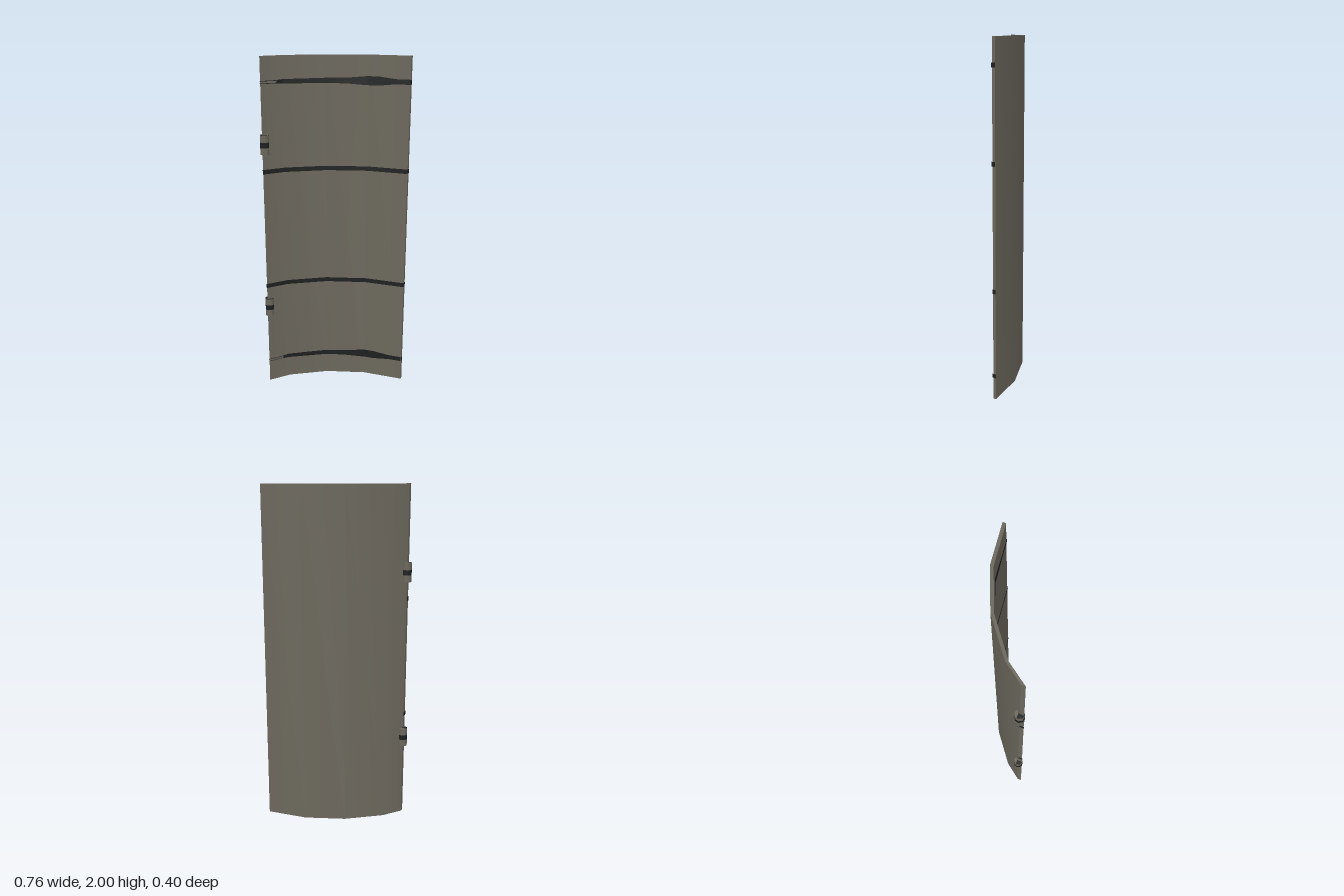
import * as THREE from 'three';

const metal = new THREE.MeshStandardMaterial({ color: 0x6b675c });
metal.name = 'warm grey metal';
const dark = new THREE.MeshStandardMaterial({ color: 0x1e1f1f });
dark.name = 'dark trim';

// Plan of the bent plate as [x, z], hinge edge first
const FRONT = [[-0.355, 0.197], [-0.273, 0.085], [-0.081, -0.061], [0.142, -0.153], [0.379, -0.184]];
const BACK = [[-0.355, 0.173], [-0.277, 0.069], [-0.085, -0.078], [0.14, -0.171], [0.379, -0.202]];
const HEIGHT = 2;

// Surface between two polylines of [x, y, z]; smooth along its length
function ribbon(lower, upper) {
  const positions = [], index = [];
  lower.forEach((p, i) => {
    positions.push(...p, ...upper[i]);
    const a = 2 * i;
    if (i) index.push(a - 2, a, a - 1, a, a + 1, a - 1);
  });
  const geometry = new THREE.BufferGeometry();
  geometry.setAttribute('position', new THREE.Float32BufferAttribute(positions, 3));
  geometry.setIndex(index);
  geometry.computeVertexNormals();
  return geometry;
}

const lift = (plan, y) => plan.map(([x, z]) => [x, y, z]);
const wall = (plan, y0, y1) => ribbon(lift(plan, y0), lift(plan, y1));

function add(parent, name, geometry, material) {
  const mesh = new THREE.Mesh(geometry, material);
  mesh.name = name;
  parent.add(mesh);
  return mesh;
}

// Linear interpolation in a list of [x, value]
function sample(list, x) {
  let i = 1;
  while (i < list.length - 1 && x > list[i][0]) i++;
  const [x0, v0] = list[i - 1], [x1, v1] = list[i];
  return THREE.MathUtils.lerp(v0, v1, (x - x0) / (x1 - x0));
}

// Thin stripe following the front; profile lists [x, half height]
function stripe(profile, y) {
  const first = profile[0][0], last = profile[profile.length - 1][0];
  const xs = [...profile.map(p => p[0]), ...FRONT.map(p => p[0]).filter(x => x > first && x < last)];
  const stations = [...new Set(xs)].sort((a, b) => a - b);
  const edge = side => stations.map(x => [x, y + side * sample(profile, x), sample(FRONT, x) + 0.004]);
  return ribbon(edge(-1), edge(1));
}

function createPanel() {
  const panel = new THREE.Group();
  panel.name = 'curvedPanel';
  const end = FRONT.length - 1;
  add(panel, 'panelFront', wall(FRONT, 0, HEIGHT), metal);
  add(panel, 'panelBack', wall([...BACK].reverse(), 0, HEIGHT), metal);
  add(panel, 'panelFreeEdge', wall([FRONT[end], BACK[end]], 0, HEIGHT), metal);
  add(panel, 'panelHingeEdge', wall([BACK[0], FRONT[0]], 0, HEIGHT), metal);
  add(panel, 'panelTop', ribbon(lift(FRONT, HEIGHT), lift(BACK, HEIGHT)), metal);
  add(panel, 'panelBottom', ribbon(lift(BACK, 0), lift(FRONT, 0)), metal);
  return panel;
}

// Stripe ends turned over the two vertical edges
function addStripeEnds(parent, y, half) {
  add(parent, 'stripeFreeEnd', wall([[0.38, -0.18], [0.38, -0.202]], y - half, y + half), dark);
  add(parent, 'stripeHingeEnd', wall([[-0.357, 0.173], [-0.357, 0.2]], y - half, y + half), dark);
}

function createHinge(y) {
  const hinge = new THREE.Group();
  hinge.name = 'hinge';
  const r = 0.027, turn = 0.1;
  const barrel = (name, y0, y1, material) => {
    const g = new THREE.CylinderGeometry(r, r, y1 - y0, 8, 1, false, turn);
    add(hinge, name, g, material).position.y = (y0 + y1) / 2;
  };
  barrel('hingeLower', -0.055, -0.015, metal);
  barrel('hingeRing', -0.015, 0.015, dark);
  barrel('hingeUpper', 0.015, 0.055, metal);

  // Dark front part of the top face
  const points = [[-0.0255, 0.007]];
  for (let k = -2; k <= 2; k++) {
    const a = turn + k * Math.PI / 4;
    points.push([r * Math.sin(a), -r * Math.cos(a)]);
  }
  points.push([0.0252, 0.007]);
  const cap = new THREE.ShapeGeometry(new THREE.Shape(points.map(p => new THREE.Vector2(...p))));
  add(hinge, 'hingeCap', cap.rotateX(-Math.PI / 2), dark).position.y = 0.0565;

  hinge.position.set(-0.3545, y, 0.1725);
  return hinge;
}

export function createModel() {
  const model = new THREE.Group();
  model.name = 'curvedDoor';
  model.add(createPanel());

  // Even stripes across the middle
  for (const y of [0.648, 1.354]) {
    add(model, 'middleStripe', stripe([[-0.355, 0.013], [0.379, 0.013]], y), dark);
    addStripeEnds(model, y, 0.013);
  }

  // Outer stripes: swollen toward the free edge, split into two fine lines at the hinge edge
  const swollen = [[-0.297, 0.009], [-0.275, 0.012], [0.03, 0.016], [0.13, 0.025],
    [0.2, 0.025], [0.3, 0.014], [0.379, 0.014]];
  for (const y of [0.142, 1.859]) {
    add(model, 'outerStripe', stripe(swollen, y), dark);
    for (const side of [-1, 1]) {
      add(model, 'fineLine', stripe([[-0.355, 0.0017], [-0.297, 0.0017]], y + side * 0.007), dark);
    }
    add(model, 'outerStripeEnd', wall([[0.38, -0.18], [0.38, -0.202]], y - 0.012, y + 0.012), dark);
  }

  for (const y of [0.503, 1.508]) model.add(createHinge(y));
  return model;
}
